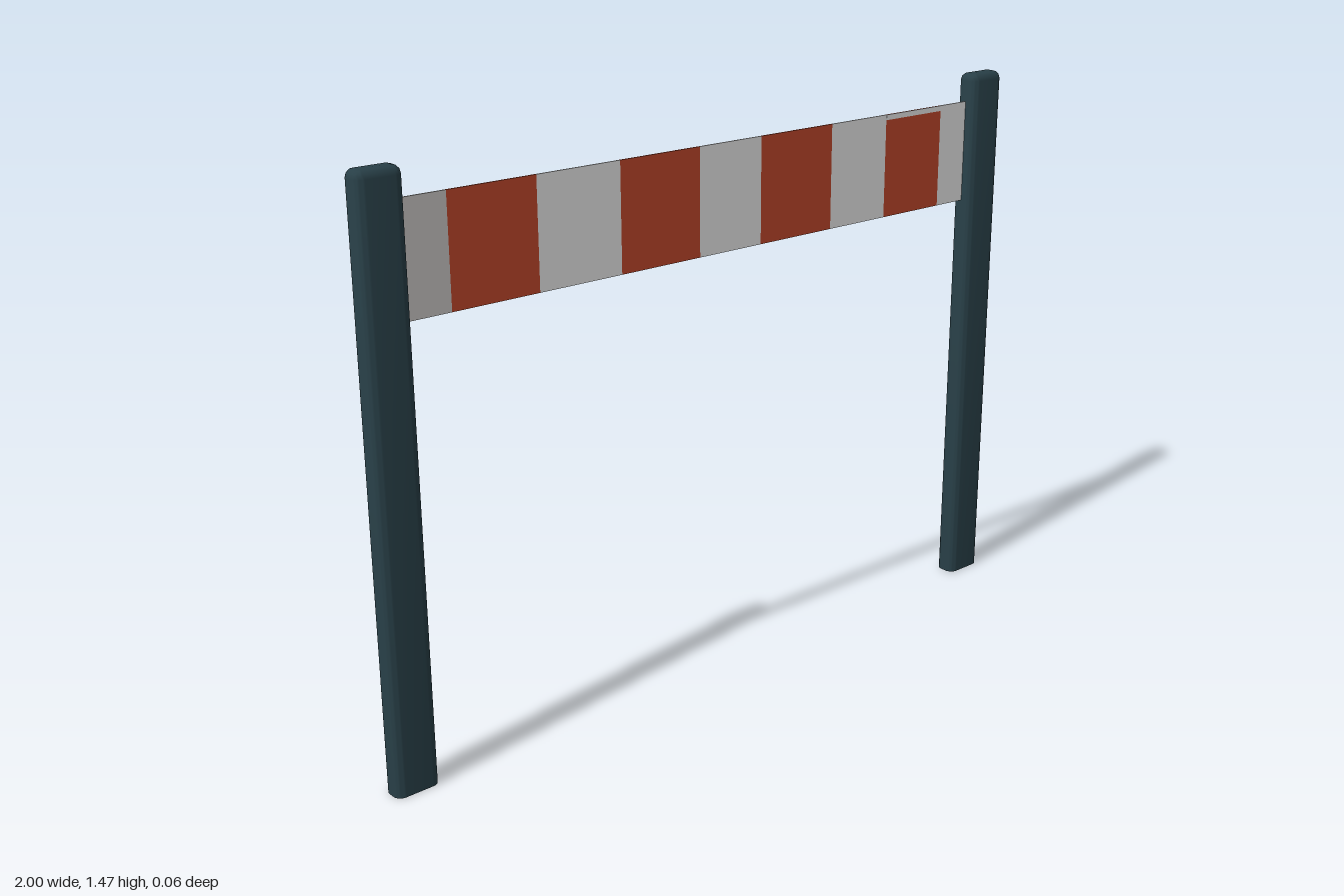
import * as THREE from 'three';
import { toCreasedNormals } from 'three/addons/utils/BufferGeometryUtils.js';

const material = (name, color) => Object.assign(new THREE.MeshStandardMaterial({ color }), { name });

// Rectangle with rounded corners, centred on the origin
function roundedRect(w, d, r) {
  const x = w / 2, y = d / 2;
  const s = new THREE.Shape();
  s.absarc(x - r, y - r, r, 0, Math.PI / 2);
  s.absarc(-x + r, y - r, r, Math.PI / 2, Math.PI);
  s.absarc(-x + r, -y + r, r, Math.PI, Math.PI * 1.5);
  s.absarc(x - r, -y + r, r, Math.PI * 1.5, Math.PI * 2);
  return s;
}

// Upright with a rounded top and a flat foot
function postGeometry(w, h, d) {
  const bevel = 0.02;
  const geo = new THREE.ExtrudeGeometry(roundedRect(w, d, 0.022), {
    depth: h - bevel, curveSegments: 4,
    bevelThickness: bevel, bevelSize: bevel, bevelOffset: -bevel, bevelSegments: 3,
  });
  geo.rotateX(-Math.PI / 2);
  // Flatten the lower bevel onto the ground
  const p = geo.attributes.position;
  for (let i = 0; i < p.count; i++) p.setY(i, Math.max(0, p.getY(i)));
  return toCreasedNormals(geo, 0.6);
}

export function createModel() {
  const group = new THREE.Group();
  const post = material('dark slate', 0x283f47);
  const white = material('white', 0xf0f0f0);
  const red = material('brick red', 0xbf472b);
  const grey = material('pale grey', 0xc8c5c3);

  const add = (name, geo, mat, x, y, z = 0) => {
    const mesh = new THREE.Mesh(geo, mat);
    mesh.name = name;
    mesh.position.set(x, y, z);
    group.add(mesh);
  };

  // Two uprights
  const upright = postGeometry(0.116, 1.465, 0.06);
  add('leftPost', upright, post, 0.942, 0);
  add('rightPost', upright, post, -0.942, 0);

  // Striped banner, one block per band
  const bottom = 1.118, top = 1.39, thick = 0.004;
  const edges = [-0.89, -0.77, -0.535, -0.3, -0.06, 0.138, 0.38, 0.577, 0.785, 0.89];
  for (let i = 0; i < edges.length - 1; i++) {
    const a = edges[i], b = edges[i + 1];
    const mat = i === 0 ? grey : i % 2 ? red : white;
    add(i % 2 ? 'redBand' : 'paleBand', new THREE.BoxGeometry(b - a, top - bottom, thick),
      mat, (a + b) / 2, (top + bottom) / 2);
  }

  // Pale margin above the last red band, front only
  add('bandMargin', new THREE.BoxGeometry(0.208, 0.014, 0.001), white, 0.681, top - 0.007, 0.0025);
  return group;
}
